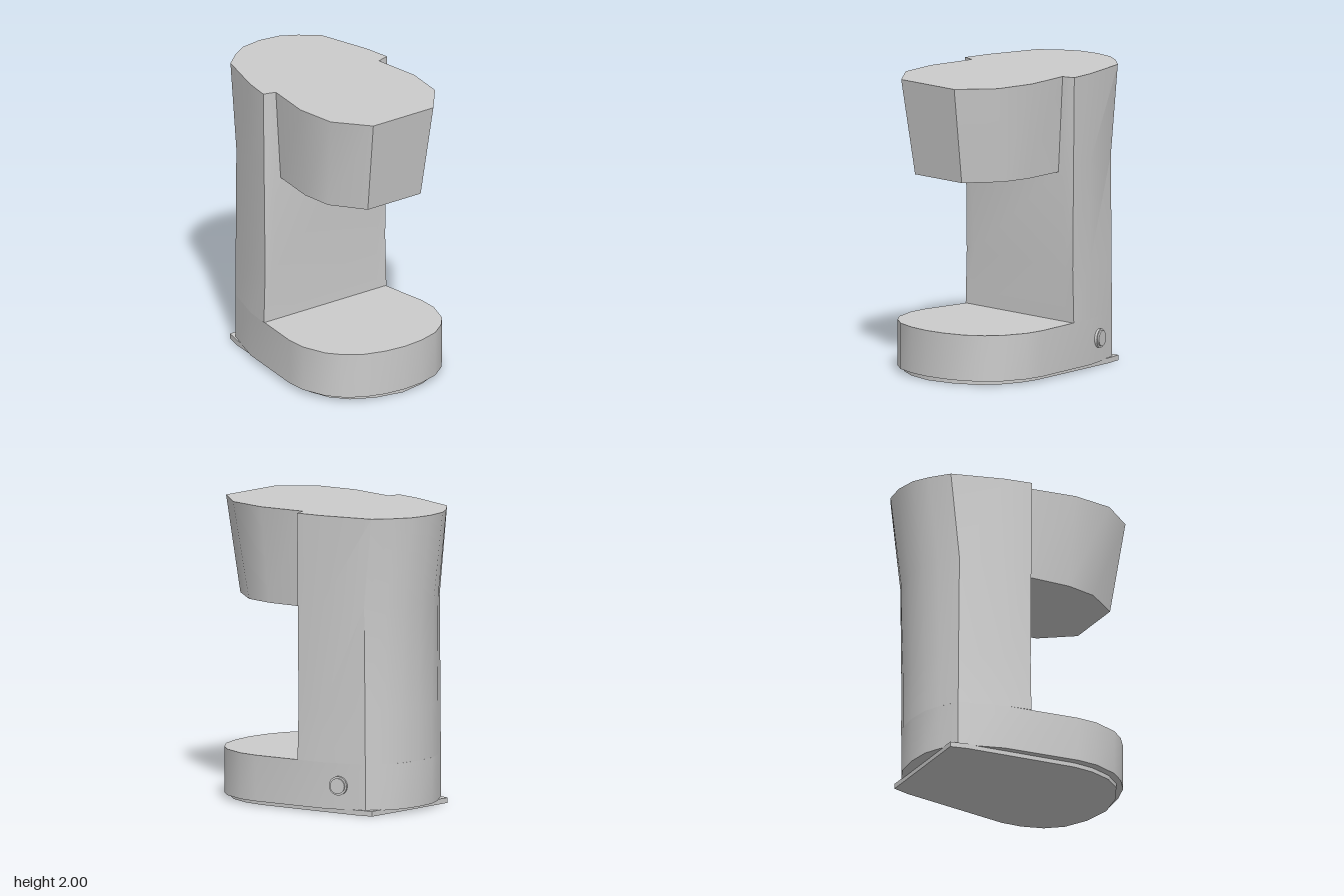
import * as THREE from 'three';
import { toCreasedNormals } from 'three/addons/utils/BufferGeometryUtils.js';

const grey = new THREE.MeshStandardMaterial({ color: 0xcccccc });

// Mirror a half outline of [x, z] pairs (back to front, z >= 0) into a full ring at height y.
function ring(half, y) {
  const height = typeof y === 'function' ? y : () => y;
  const back = half.filter(([, z]) => z > 0).reverse().map(([x, z]) => [x, -z]);
  return [...half, ...back].map(([x, z]) => [x, height(x, z), z]);
}

// Closed solid through rings of equal length, bottom to top.
function loft(name, rings) {
  const n = rings[0].length;
  const positions = rings.flat(2);
  const index = [];
  for (let r = 0; r < rings.length - 1; r++) {
    for (let i = 0; i < n; i++) {
      const j = (i + 1) % n;
      const a = r * n + i, b = r * n + j;
      index.push(a, b, b + n, a, b + n, a + n);
    }
  }
  // caps fan out from the middle of the first and last ring
  [0, rings.length - 1].forEach((r, k) => {
    const c = positions.length / 3;
    for (let d = 0; d < 3; d++) positions.push(rings[r].reduce((s, p) => s + p[d], 0) / n);
    for (let i = 0; i < n; i++) {
      const a = r * n + i, b = r * n + ((i + 1) % n);
      if (k === 0) index.push(c, b, a);
      else index.push(c, a, b);
    }
  });
  const geometry = new THREE.BufferGeometry();
  geometry.setAttribute('position', new THREE.Float32BufferAttribute(positions, 3));
  geometry.setIndex(index);
  const mesh = new THREE.Mesh(toCreasedNormals(geometry, 0.57), grey);
  mesh.name = name;
  return mesh;
}

// Column outline: back edge, side corner, front corner and front face positions.
function columnRing(y, back, corner, frontX, frontZ) {
  const lerp = (t) => back + (corner - back) * t;
  return ring([
    [back, 0], [lerp(0.12), 0.15], [lerp(0.46), 0.26], [corner, 0.38],
    [-0.26, frontZ - 0.03], [-0.075, frontZ], [frontX, 0.43],
  ], y);
}

export function createModel() {
  const model = new THREE.Group();
  model.name = 'coffeeMachine';

  // Foot plate under the base
  const foot = [
    [-0.62, 0.38], [-0.5, 0.41], [0.26, 0.5], [0.4, 0.49],
    [0.55, 0.44], [0.66, 0.35], [0.74, 0.2], [0.78, 0],
  ];
  model.add(loft('footPlate', [ring(foot, 0), ring(foot, 0.035)]));

  // Base
  const base = [
    [-0.7, 0], [-0.685, 0.15], [-0.635, 0.26], [-0.56, 0.38], [-0.26, 0.48], [0.26, 0.55],
    [0.4, 0.545], [0.57, 0.485], [0.66, 0.41], [0.74, 0.3], [0.785, 0.15], [0.8, 0],
  ];
  model.add(loft('base', [ring(base, 0.03), ring(base, 0.34)]));

  // Column, leaning back towards the top
  model.add(loft('column', [
    columnRing(0.34, -0.7, -0.56, -0.075, 0.51),
    columnRing(0.7, -0.7, -0.557, -0.075, 0.5),
    columnRing(1.4, -0.72, -0.55, -0.05, 0.508),
    columnRing(2, -0.8, -0.615, -0.05, 0.515),
  ]));

  // Overhanging head, tapering downwards, its underside slightly raised at one rear corner
  const headBottom = [[-0.05, 0.39], [0.26, 0.42], [0.465, 0.385], [0.685, 0.22]];
  const headTop = [[-0.05, 0.43], [0.28, 0.475], [0.56, 0.435], [0.785, 0.25]];
  const underside = (x, z) => 1.35 + (z > 0 ? 0.02 * Math.max(0, (0.5 - x) / 0.55) : 0);
  model.add(loft('head', [ring(headBottom, underside), ring(headTop, 2)]));

  // Round button with a collar on the rear side of the base
  const button = new THREE.Group();
  button.name = 'button';
  const collar = new THREE.Mesh(new THREE.CylinderGeometry(0.064, 0.064, 0.02, 20), grey);
  collar.name = 'buttonCollar';
  const cap = new THREE.Mesh(new THREE.CylinderGeometry(0.052, 0.052, 0.03, 20), grey);
  cap.name = 'buttonCap';
  cap.position.y = 0.006;
  button.add(collar, cap);
  const normal = new THREE.Vector3(-0.316, 0, -0.949).normalize();
  button.quaternion.setFromUnitVectors(new THREE.Vector3(0, 1, 0), normal);
  button.position.set(-0.38, 0.19, -0.447);
  model.add(button);

  return model;
}
